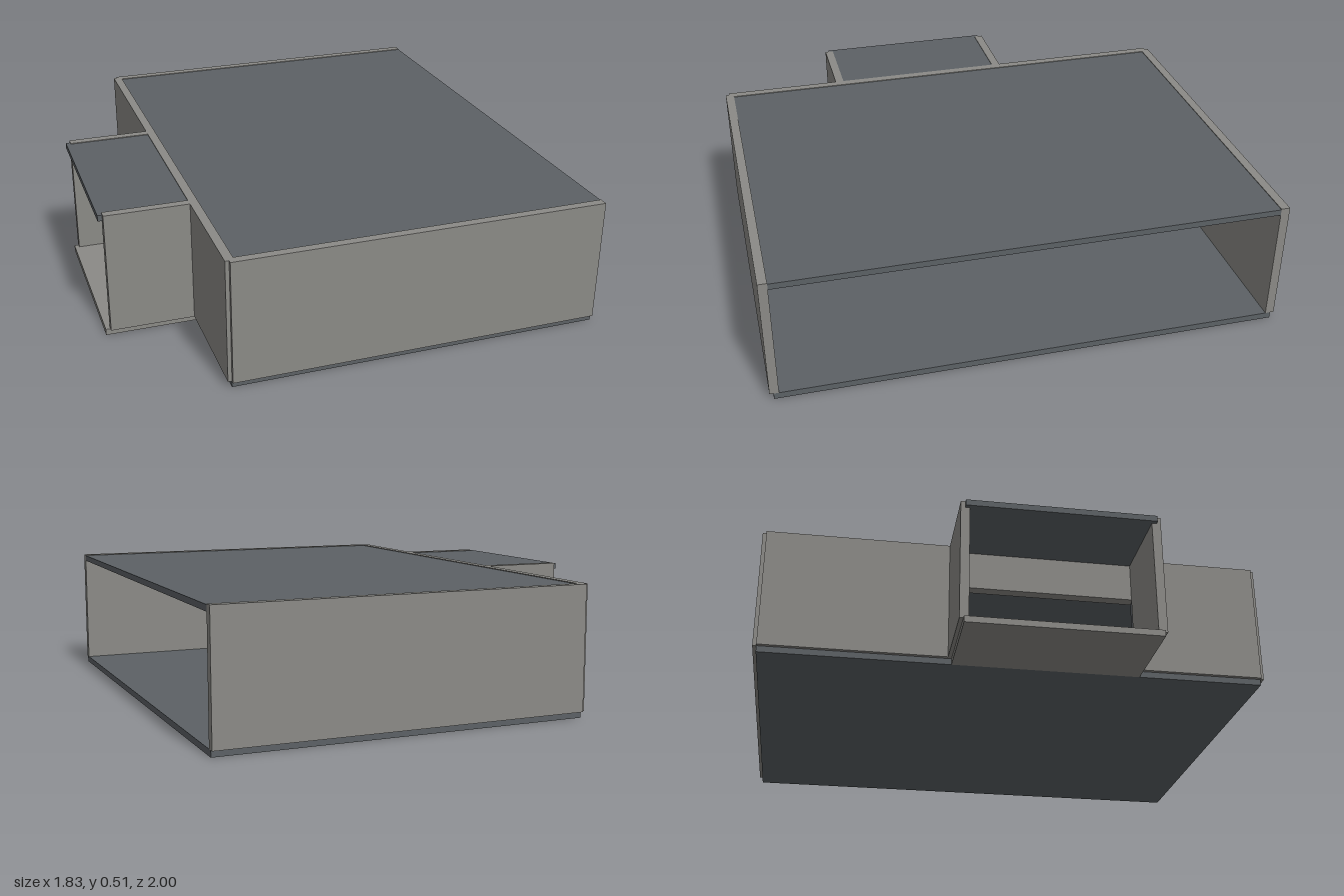
import * as THREE from 'three';

export function createModel() {
  const model = new THREE.Group();
  const wallGrey = new THREE.MeshStandardMaterial({ name: 'wallGrey', color: 0x8b8a86 });
  const slabGrey = new THREE.MeshStandardMaterial({ name: 'slabGrey', color: 0x5c6165 });

  // Box given by its minimum and maximum on each axis
  function slab(parent, name, material, [x0, x1], [y0, y1], [z0, z1]) {
    const geometry = new THREE.BoxGeometry(x1 - x0, y1 - y0, z1 - z0);
    geometry.translate((x0 + x1) / 2, (y0 + y1) / 2, (z0 + z1) / 2);
    const mesh = new THREE.Mesh(geometry, material);
    mesh.name = name;
    parent.add(mesh);
  }

  const floorTop = 0.025, roofBase = 0.488, roofTop = 0.512, wallTop = 0.515;

  // Main hall, open at +x
  const hall = new THREE.Group();
  hall.name = 'mainHall';
  slab(hall, 'hallFloor', slabGrey, [-0.555, 0.915], [0, floorTop], [-0.985, 0.985]);
  slab(hall, 'hallRoof', slabGrey, [-0.535, 0.915], [roofBase, roofTop], [-0.965, 0.965]);
  slab(hall, 'hallFrontWall', wallGrey, [-0.555, 0.915], [floorTop, wallTop], [0.965, 1]);
  slab(hall, 'hallBackWall', wallGrey, [-0.555, 0.915], [floorTop, wallTop], [-1, -0.965]);

  // End wall with the doorway cut out, drawn in z and y
  const doorMin = -0.24, doorMax = 0.49, doorTop = 0.345;
  const outline = new THREE.Shape([
    [-0.985, floorTop], [doorMin, floorTop], [doorMin, doorTop], [doorMax, doorTop],
    [doorMax, floorTop], [0.985, floorTop], [0.985, wallTop], [-0.985, wallTop],
  ].map(([z, y]) => new THREE.Vector2(z, y)));
  const endGeometry = new THREE.ExtrudeGeometry(outline, { depth: 0.035, bevelEnabled: false });
  endGeometry.rotateY(-Math.PI / 2).translate(-0.535, 0, 0);
  const endWall = new THREE.Mesh(endGeometry, wallGrey);
  endWall.name = 'hallEndWall';
  hall.add(endWall);

  // Door frame lining the opening
  const frame = new THREE.Group();
  frame.name = 'doorFrame';
  const frameDepth = [-0.574, -0.531];
  slab(frame, 'doorJambBack', slabGrey, frameDepth, [floorTop, doorTop], [doorMin, doorMin + 0.015]);
  slab(frame, 'doorJambFront', slabGrey, frameDepth, [floorTop, doorTop], [doorMax - 0.015, doorMax]);
  slab(frame, 'doorHeader', wallGrey, frameDepth, [doorTop - 0.015, doorTop], [doorMin + 0.015, doorMax - 0.015]);

  // Entrance annex, open at -x
  const annex = new THREE.Group();
  annex.name = 'annex';
  slab(annex, 'annexFloor', wallGrey, [-0.918, -0.555], [0, floorTop], [-0.25, 0.49]);
  slab(annex, 'annexRoof', slabGrey, [-0.918, -0.57], [roofBase, roofTop], [-0.248, 0.488]);
  slab(annex, 'annexBackWall', wallGrey, [-0.9, -0.57], [floorTop, wallTop], [-0.265, -0.23]);
  slab(annex, 'annexFrontWall', wallGrey, [-0.9, -0.57], [floorTop, wallTop], [0.47, 0.505]);

  model.add(hall, frame, annex);
  return model;
}
